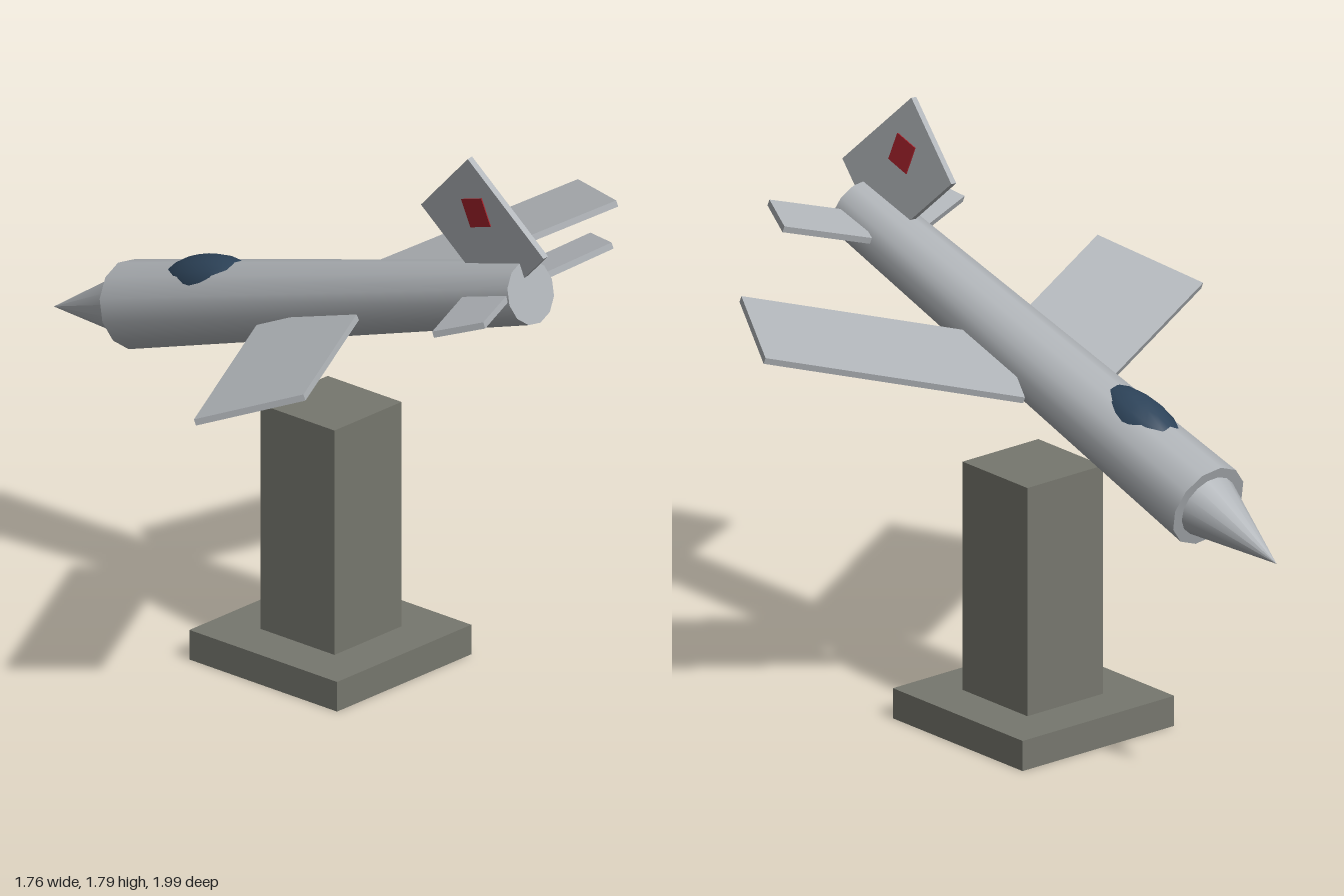
import * as THREE from 'three';

const material = (name, color) => {
  const m = new THREE.MeshStandardMaterial({ color });
  m.name = name;
  return m;
};

export function createModel() {
  const metal = material('aircraft grey', 0xb0b4b8);
  const stone = material('pedestal stone', 0x76776e);
  const glass = material('canopy blue', 0x2d4359);
  const red = material('tail mark red', 0xa4222b);
  const model = new THREE.Group();
  model.name = 'aircraftMonument';

  const add = (parent, name, geometry, mat, x = 0, y = 0, z = 0) => {
    const mesh = new THREE.Mesh(geometry, mat);
    mesh.name = name;
    mesh.position.set(x, y, z);
    parent.add(mesh);
    return mesh;
  };

  // Flat slab spanned by edges u and v from a corner; sink lowers it by a fraction of its thickness
  const slab = (name, mat, corner, u, v, thickness, sink) => {
    const c = new THREE.Vector3(...corner);
    const U = new THREE.Vector3(...u), V = new THREE.Vector3(...v);
    const X = U.clone().normalize();
    const Y = V.clone().cross(U).normalize();
    const Z = X.clone().cross(Y);
    const mesh = add(model, name, new THREE.BoxGeometry(U.length(), thickness, V.length()), mat);
    mesh.quaternion.setFromRotationMatrix(new THREE.Matrix4().makeBasis(X, Y, Z));
    mesh.position.copy(c).addScaledVector(U, 0.5).addScaledVector(V, 0.5)
      .addScaledVector(Y, -Math.sign(Y.y) * sink * thickness);
  };

  // Pedestal
  add(model, 'pedestalBase', new THREE.BoxGeometry(0.59, 0.095, 0.59), stone, -0.004, 0.0475, 0.115);
  add(model, 'pedestalColumn', new THREE.BoxGeometry(0.295, 0.72, 0.295), stone, -0.004, 0.455, 0.118);

  // Body, pitched nose down and slightly banked; nose along local -z
  const body = new THREE.Group();
  body.name = 'body';
  body.position.set(-0.004, 1.152, 0.118);
  body.rotation.set(-0.298, 0, 0.12);
  model.add(body);
  const length = 1.669, noseLength = 0.325;
  add(body, 'fuselage', new THREE.CylinderGeometry(0.134, 0.098, length, 12).rotateX(-Math.PI / 2), metal);
  add(body, 'noseCone', new THREE.ConeGeometry(0.1, noseLength, 16).rotateX(-Math.PI / 2), metal,
    0, 0, -(length + noseLength) / 2);
  add(body, 'canopy', new THREE.SphereGeometry(1, 12, 8).scale(0.09, 0.088, 0.19), glass, 0, 0.06, -0.483);

  // Swept wings and tailplanes
  slab('leftWing', metal, [0.165, 1.11, -0.045], [0.715, 0.2, 0.345], [-0.165, 0.07, 0.305], 0.02, 0.5);
  slab('rightWing', metal, [-0.17, 1.075, -0.03], [-0.71, 0.03, 0.395], [0.17, 0.11, 0.285], 0.02, 0.5);
  slab('leftTailplane', metal, [0.1, 1.38, 0.725], [0.255, 0.07, 0.1], [-0.06, 0.03, 0.145], 0.02, 0.5);
  slab('rightTailplane', metal, [-0.1, 1.36, 0.73], [-0.265, 0.005, 0.12], [0.065, 0.05, 0.145], 0.02, 0.5);

  // Tail fin, with a square mark showing on both faces
  slab('tailFin', metal, [-0.055, 1.79, 0.72], [0.02, -0.21, -0.205], [0.04, -0.26, 0.265], 0.02, 0);
  const normal = new THREE.Vector3(0.992, 0.123, -0.029);
  for (const side of [1, -1]) {
    const p = new THREE.Vector3(-0.05, 1.67, 0.76);
    p.x = -0.055 + (0.123 * 0.12 + 0.029 * 0.04) / 0.992;
    p.addScaledVector(normal, side * 0.011);
    slab('tailMark', red, p.toArray(), [0.001, -0.025, -0.081], [0.012, -0.086, 0.028], 0.005, 0);
  }
  return model;
}
